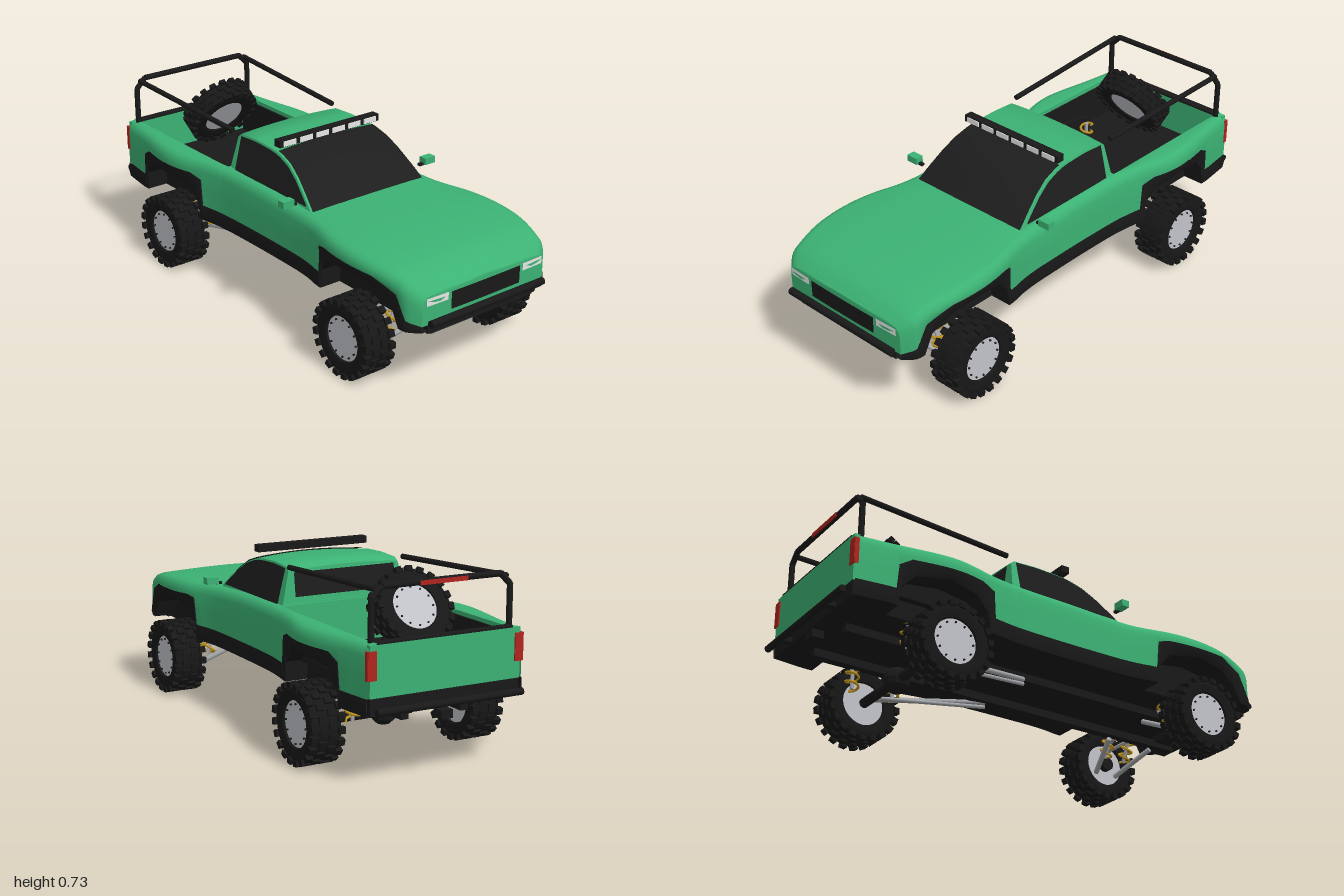
import * as THREE from 'three';
import { mergeGeometries, toCreasedNormals } from 'three/addons/utils/BufferGeometryUtils.js';

const mat = (name, color, side = THREE.DoubleSide) => Object.assign(new THREE.MeshStandardMaterial({ color, side }), { name });
const V = (x, y, z) => new THREE.Vector3(x, y, z);

export function createModel() {
  const root = new THREE.Group();
  root.name = 'offroadPickup';
  const paint = mat('green paint', 0x3cb274), trim = mat('black trim', 0x191919), glass = mat('dark glass', 0x1d1d1d);
  const rubber = mat('tyre rubber', 0x171717), alloy = mat('wheel alloy', 0xc2c4ca), steel = mat('suspension steel', 0xa4a6aa);
  const gold = mat('spring gold', 0xc0941c), red = mat('red lamp', 0xb0241e), white = mat('clear lamp', 0xe6e7e4);

  const add = (name, geo, material, parent = root) => {
    const m = new THREE.Mesh(geo, material);
    m.name = name;
    parent.add(m);
    return m;
  };
  const box = (name, w, h, d, x, y, z, material, parent) => {
    const m = add(name, new THREE.BoxGeometry(w, h, d), material, parent);
    m.position.set(x, y, z);
    return m;
  };
  const rod = (name, a, b, r, material, sides = 10) => {
    const m = add(name, new THREE.CylinderGeometry(r, r, a.distanceTo(b), sides), material);
    m.position.copy(a).lerp(b, 0.5);
    m.quaternion.setFromUnitVectors(V(0, 1, 0), b.clone().sub(a).normalize());
    return m;
  };
  // Skin stretched over equal-length rows of [x, y, z] points
  const skin = (name, rows, material, crease = 0.7) => {
    const n = rows[0].length, index = [];
    for (let i = 0; i < rows.length - 1; i++) for (let j = 0; j < n - 1; j++) {
      const a = i * n + j, b = a + n;
      index.push(a, b, a + 1, b, b + 1, a + 1);
    }
    const g = new THREE.BufferGeometry();
    g.setAttribute('position', new THREE.Float32BufferAttribute(rows.flat(2), 3));
    g.setIndex(index);
    return add(name, toCreasedNormals(g, crease), material);
  };
  // Value of a table of [z, value] at z, straight or smooth
  const at = (t, z, smooth) => {
    let i = 0;
    while (i < t.length - 2 && z > t[i + 1][0]) i++;
    const [z0, a] = t[i], [z1, b] = t[i + 1], k = THREE.MathUtils.clamp((z - z0) / (z1 - z0), 0, 1);
    if (!smooth) return a + (b - a) * k;
    const p = t[Math.max(i - 1, 0)], q = t[Math.min(i + 2, t.length - 1)], h = z1 - z0;
    const m0 = (b - p[1]) / (z1 - p[0]) * h, m1 = (q[1] - a) / (q[0] - z0) * h, k2 = k * k, k3 = k2 * k;
    return a * (2 * k3 - 3 * k2 + 1) + m0 * (k3 - 2 * k2 + k) + b * (3 * k2 - 2 * k3) + m1 * (k3 - k2);
  };
  const range = (a, b, n) => Array.from({ length: n + 1 }, (_, i) => a + (b - a) * i / n);
  const mirrorRow = half => [...half.map(([x, y, z]) => [-x, y, z]), ...half.slice(0, -1).reverse()];

  // Body outline along z: half width, top line, paint edge and arch edge
  const width = [[-.95, .326], [-.8, .345], [-.6, .376], [-.5, .374], [-.35, .34], [-.2, .322], [.2, .32], [.35, .33],
    [.5, .366], [.62, .379], [.75, .373], [.87, .35], [.92, .338], [.95, .312], [.96, .3]];
  const top = [[-.95, .53], [0, .53], [.3, .518], [.6, .512], [.78, .5], [.87, .482], [.93, .453], [.96, .425]];
  const edge = [[-.95, .335], [-.787, .335], [-.78, .434], [-.73, .464], [-.42, .467], [-.36, .447], [-.353, .335],
    [.43, .335], [.437, .45], [.48, .46], [.76, .458], [.87, .418], [.915, .33], [.96, .31]];
  const arch = [[-.95, .27], [-.775, .27], [-.765, .35], [-.71, .405], [-.57, .425], [-.44, .405], [-.385, .35], [-.375, .27],
    [.435, .27], [.445, .35], [.5, .405], [.64, .425], [.77, .405], [.84, .36], [.88, .285], [.96, .285]];
  const stations = [...range(-.95, .96, 64), ...edge.map(e => e[0]), ...arch.map(e => e[0]), -.24].sort((a, b) => a - b)
    .filter((z, i, s) => !i || z - s[i - 1] > 1e-4);
  const bodyX = (z, y) => {
    const w = at(width, z, true);
    return THREE.MathUtils.lerp(w, Math.min(w, .343), THREE.MathUtils.clamp((.46 - y) / .1, 0, 1));
  };
  const flank = z => {
    const g = at(edge, z), t = at(top, z, true), s = Math.max(t - .045, g + .005), w = at(width, z, true);
    return [[bodyX(z, g), g, z], [bodyX(z, (g + s) / 2), (g + s) / 2, z], [w, s, z], [w - .005, t - .022, z],
      [w - .018, t - .006, z], [w - .04, t, z]];
  };
  const hoodHalf = z => {
    const t = at(top, z, true);
    return [...flank(z), [.2, t + .005, z], [.1, t + .008, z], [0, t + .009, z]];
  };
  skin('frontBody', stations.filter(z => z >= -.2401).map(z => mirrorRow(hoodHalf(z))), paint);
  for (const s of [1, -1]) {
    skin('bedSide', stations.filter(z => z <= -.2399).map(z =>
      [...flank(z), [.28, .525, z], [.28, Math.max(.36, at(arch, z) + .006), z]].map(([x, y, q]) => [s * x, y, q])), paint);
  }
  // Arch flares, sills, wheel wells and floor in one shell
  skin('underbody', stations.map(z => {
    const g = at(edge, z), o = at(arch, z), m = (g + o) / 2;
    return mirrorRow([[bodyX(z, g) + .003, g, z], [bodyX(z, m) + .006, m, z], [bodyX(z, o), o, z], [.25, o, z], [.25, .27, z], [0, .27, z]]);
  }), trim, 0.5);

  // Nose panel, grille and headlights
  const noseZ = x => .96 + .006 * (1 - (x / .3) ** 2);
  skin('nosePanel', hoodHalf(.96).map(([x, y]) => range(-1, 1, 10).map(u => [u * x, y, .96 + .006 * (1 - u * u)])), paint);
  const nosePlate = (name, x0, x1, y0, y1, off, material) =>
    skin(name, [y0, y1].map(y => range(x0, x1, 8).map(x => [x, y, noseZ(x) + off])), material);
  nosePlate('grille', -.17, .17, .345, .415, .005, trim);
  for (const s of [1, -1]) {
    nosePlate('headlight', s * .185, s * .286, .388, .418, .005, white);
    skin('headlightSlash', [[[s * .2, .407, noseZ(.2) + .009], [s * .285, .41, noseZ(.285) + .009]],
      [[s * .225, .397, noseZ(.225) + .009], [s * .255, .4, noseZ(.255) + .009]]], paint);
  }
  box('chin', .54, .04, .05, 0, .292, .932, trim);
  box('skidPlate', .44, .045, .14, 0, .262, .85, trim);
  rod('frontBumper', V(-.28, .323, .983), V(.28, .323, .983), .015, trim);
  for (const s of [1, -1]) rod('bumperStay', V(s * .24, .315, .98), V(s * .2, .262, .88), .012, trim);

  // Cabin: roof shell, sides and glass
  const profile = [[-.235, .52], [-.22, .66], [-.205, .674], [-.1, .68], [0, .676], [.035, .672], [.06, .667], [.12, .648],
    [.18, .612], [.24, .565], [.3, .515]];
  const cabX = y => .279 - .25 * (y - .53);
  const across = ([z, y], span, off) => range(-span, span, 12).map(u =>
    [u * cabX(y), y + off + .01 * (1 - u * u) * (y > .6 ? 1 : 0), z + off + (z > .05 ? .02 * (1 - u * u) : 0)]);
  skin('cabShell', profile.map(p => across(p, 1, 0)), paint);
  skin('windshield', profile.slice(5).map(p => across(p, .98, .004)), glass);
  skin('rearWindow', [[-.2385, .56], [-.2255, .655]].map(([z, y]) => [[-.225, y, z], [.225, y, z]]), glass);
  for (const s of [1, -1]) {
    skin('cabSide', profile.map(([z, y]) => [[s * cabX(y), y, z], [s * cabX(.515), .515, z]]), paint);
    skin('sideWindow', range(-.198, .268, 16).map(z => {
      const y = Math.max(at(profile, z) - .006, .531);
      return [[s * (cabX(y) + .004), y, z], [s * (cabX(.53) + .004), .53, z]];
    }), glass);
    box('mirror', .052, .028, .035, s * .358, .557, .245, paint);
    box('mirrorStalk', .026, .01, .015, s * .325, .545, .245, trim);
  }

  // Roof light bar with six lamps
  box('lightBar', .5, .029, .036, 0, .711, .045, trim);
  for (let i = 0; i < 6; i++) box('roofLamp', .062, .021, .006, (i - 2.5) * .081, .71, .064, white);

  // Load bed, tailgate and rear end
  box('bedFloor', .56, .015, .7, 0, .353, -.59, trim);
  box('bedFrontWall', .56, .18, .012, 0, .44, -.238, paint);
  box('tailgate', .635, .19, .022, 0, .43, -.941, paint);
  box('tailgateCap', .57, .008, .034, 0, .528, -.934, trim);
  box('rearValance', .63, .065, .02, 0, .303, -.94, trim);
  for (const s of [1, -1]) {
    box('tailLightRear', .035, .105, .008, s * .31, .452, -.953, red);
    box('tailLightSide', .008, .105, .018, s * .3255, .452, -.947, red);
    box('rearBumperStay', .03, .02, .06, s * .18, .285, -.955, trim);
    box('bedLiner', .008, .15, .66, s * .272, .435, -.59, trim);
  }
  rod('rearBumper', V(-.308, .293, -.985), V(.308, .293, -.985), .014, trim);
  box('towHitch', .05, .032, .05, 0, .24, -.935, trim);

  // Roll cage with brake lamp
  const hoop = [V(-.292, .5, -.915), V(-.292, .68, -.915), V(-.25, .722, -.915), V(.25, .722, -.915), V(.292, .68, -.915), V(.292, .5, -.915)];
  for (let i = 0; i < 5; i++) rod('cageHoop', hoop[i], hoop[i + 1], .012, trim);
  for (const s of [1, -1]) rod('cageRail', V(s * .255, .68, -.245), V(s * .275, .712, -.915), .011, trim);
  box('brakeLamp', .2, .016, .006, 0, .72, -.926, red);

  // Wheels: axle along x, outer face towards +x
  const tyreShape = [[.085, .04], [.092, .058], [.125, .065], [.142, .058], [.149, .035], [.149, -.035], [.142, -.058], [.125, -.065],
    [.092, -.058], [.085, -.04]].map(([r, x]) => new THREE.Vector2(r, -x));
  const tyreGeo = toCreasedNormals(new THREE.LatheGeometry(tyreShape, 40).rotateZ(Math.PI / 2), 0.6);
  const lugs = [];
  for (let i = 0; i < 20; i++) for (const [x, w, shift] of [[-.057, .027, 0], [-.02, .03, .5], [.02, .03, 0], [.057, .027, .5]]) {
    lugs.push(new THREE.BoxGeometry(w, .022, .026).translate(x, .1465, 0).rotateX((i + shift) * Math.PI / 10));
  }
  const lugGeo = mergeGeometries(lugs);
  const bolts = mergeGeometries(range(0, 11, 11).map(i =>
    new THREE.CylinderGeometry(.004, .004, .006, 6).rotateZ(Math.PI / 2).translate(.053, .076, 0).rotateX(i * Math.PI / 6)));
  const wheel = (name, x, y, z) => {
    const g = new THREE.Group();
    g.name = name;
    add('tyre', tyreGeo, rubber, g);
    add('tread', lugGeo, rubber, g);
    add('rim', new THREE.CylinderGeometry(.089, .089, .1, 32).rotateZ(Math.PI / 2), alloy, g);
    add('rimBolts', bolts, trim, g);
    g.position.set(x, y, z);
    root.add(g);
    return g;
  };
  for (const s of [1, -1]) for (const z of [.64, -.565]) wheel(z > 0 ? 'frontWheel' : 'rearWheel', s * .348, .16, z).rotation.y = s > 0 ? 0 : Math.PI;
  const spare = wheel('spareWheel', 0, .575, -.71);
  spare.scale.x = .68;
  spare.quaternion.setFromUnitVectors(V(1, 0, 0), V(0, .56, -.83).normalize());

  // Chassis rails, rear axle and differential
  for (const s of [1, -1]) box('chassisRail', .032, .032, 1.76, s * .128, .235, 0, trim);
  rod('rearAxle', V(-.29, .16, -.565), V(.29, .16, -.565), .02, trim, 14);
  const diffGeo = new THREE.SphereGeometry(.054, 10, 6).toNonIndexed();
  diffGeo.computeVertexNormals();
  add('differential', diffGeo, trim).position.set(.025, .16, -.565);

  // Springs and suspension arms
  class Helix extends THREE.Curve {
    constructor(h, r, turns) { super(); Object.assign(this, { h, r, turns }); }
    getPoint(t, p = V(0, 0, 0)) {
      const a = t * this.turns * Math.PI * 2;
      return p.set(Math.cos(a) * this.r, (t - .5) * this.h, Math.sin(a) * this.r);
    }
  }
  const coil = (a, b, turns) => {
    const m = add('coilSpring', new THREE.TubeGeometry(new Helix(a.distanceTo(b), .026, turns), turns * 10, .0055, 6), gold);
    m.position.copy(a).lerp(b, .5);
    m.quaternion.setFromUnitVectors(V(0, 1, 0), b.clone().sub(a).normalize());
    rod('damper', a, b, .008, steel);
  };
  for (const s of [1, -1]) {
    for (const z of [-.66, -.48]) coil(V(s * .215, .17, z), V(s * .215, .405, z), 6);
    for (const z of [.59, .69]) {
      coil(V(s * .225, .16, z), V(s * .18, .265, z), 3);
      rod('lowerArm', V(s * .115, .2, z + (z > .64 ? .06 : -.06)), V(s * .29, .115, z), .011, steel);
      rod('upperArm', V(s * .13, .25, z), V(s * .29, .215, .64), .008, steel);
    }
    rod('frontHub', V(s * .27, .16, .64), V(s * .32, .16, .64), .03, trim);
    rod('trailingArm', V(s * .14, .225, -.09), V(s * .24, .165, -.54), .011, steel);
    rod('trailingLink', V(s * .14, .205, -.09), V(s * .2, .155, -.54), .008, steel);
  }
  return root;
}
